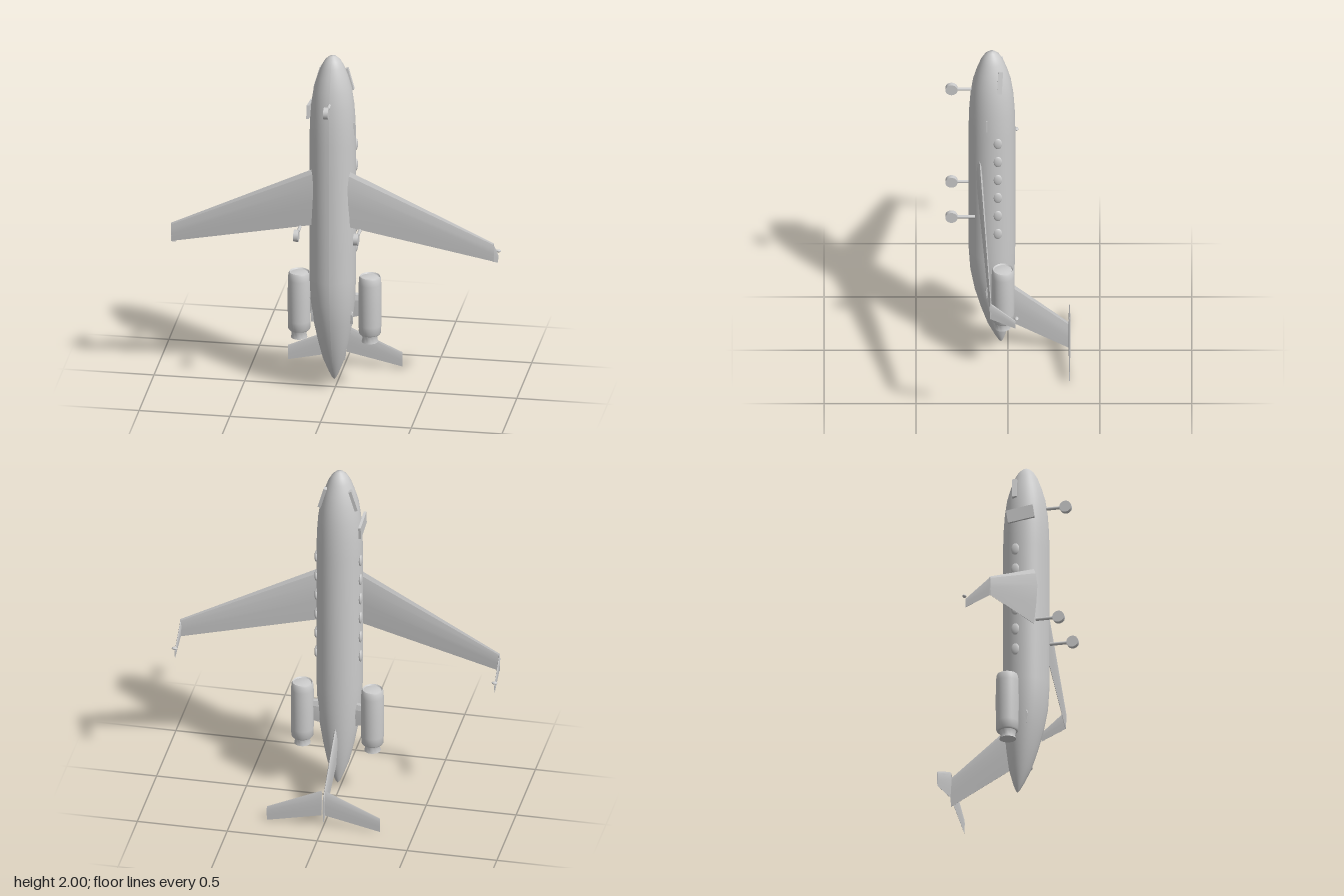
import * as THREE from 'three';
import { toCreasedNormals } from 'three/addons/utils/BufferGeometryUtils.js';

// Lofted flying surface: each section is { le:[x,y,z], chord, thick }, chord runs toward -y,
// thickness lies along the given axis (0 = x, 2 = z).
function loft(sections, axis) {
  const half = [[0, 0], [0.08, 0.55], [0.3, 1], [0.6, 0.75], [1, 0.08]];
  const foil = [...half, ...half.slice(1).reverse().map(([t, h]) => [t, -h])];
  const n = foil.length;
  const pts = sections.map(s => foil.map(([t, h]) => {
    const p = new THREE.Vector3(...s.le);
    p.y -= t * s.chord;
    p.setComponent(axis, p.getComponent(axis) + h * s.thick / 2);
    return p;
  }));
  const tris = [];
  for (let i = 0; i + 1 < pts.length; i++) {
    for (let j = 0; j < n; j++) {
      const k = (j + 1) % n, a = pts[i][j], b = pts[i][k], c = pts[i + 1][k], d = pts[i + 1][j];
      tris.push([a, b, c], [a, c, d]);
    }
  }
  const last = pts[pts.length - 1];
  for (let j = 1; j + 1 < n; j++) {
    tris.push([pts[0][0], pts[0][j + 1], pts[0][j]], [last[0], last[j], last[j + 1]]);
  }
  // Turn the faces outward whichever way the sections run
  const o = pts[0][0], v = () => new THREE.Vector3();
  const volume = tris.reduce((sum, [a, b, c]) => sum +
    v().subVectors(a, o).dot(v().subVectors(b, o).cross(v().subVectors(c, o))), 0);
  const flat = tris.flatMap(([a, b, c]) => volume < 0 ? [a, c, b] : [a, b, c]);
  const g = new THREE.BufferGeometry().setFromPoints(flat);
  return toCreasedNormals(g, 0.2);
}

export function createModel() {
  const model = new THREE.Group();
  model.name = 'businessJet';
  const paint = new THREE.MeshStandardMaterial({ color: 0xcccccc });
  paint.name = 'lightGrey';

  const add = (name, geometry, x = 0, y = 0, z = 0) => {
    const m = new THREE.Mesh(geometry, paint);
    m.name = name;
    m.position.set(x, y, z);
    model.add(m);
    return m;
  };

  // Fuselage: turned profile, with the tail cone swept toward the back
  const axisZ = 0.087;
  const profile = [
    [0, 0.065], [0.012, 0.08], [0.028, 0.115], [0.06, 0.2], [0.085, 0.31], [0.107, 0.43],
    [0.121, 0.56], [0.127, 0.7], [0.127, 1.1], [0.127, 1.5], [0.124, 1.62], [0.117, 1.72],
    [0.104, 1.81], [0.084, 1.88], [0.062, 1.94], [0.042, 1.975], [0.02, 1.995], [0, 2.0],
  ].map(p => new THREE.Vector2(...p));
  const body = new THREE.LatheGeometry(profile, 40);
  const bp = body.attributes.position;
  for (let i = 0; i < bp.count; i++) {
    const t = Math.max(0, (0.62 - bp.getY(i)) / 0.555);
    bp.setZ(i, bp.getZ(i) + axisZ - 0.05 * Math.pow(t, 1.3));
  }
  body.computeVertexNormals();
  add('fuselage', body);

  // Engine shell: rounded lip, domed intake face
  const nacelle = [
    [0, 0.345], [0.055, 0.345], [0.06, 0.352], [0.062, 0.4], [0.063, 0.52], [0.062, 0.64],
    [0.059, 0.675], [0.054, 0.685], [0.049, 0.678], [0.035, 0.681], [0, 0.684],
  ].map(p => new THREE.Vector2(...p));
  const exhaust = [[0, 0.3], [0.045, 0.3], [0.04, 0.322], [0.047, 0.347], [0, 0.347]]
    .map(p => new THREE.Vector2(...p));

  const wheel = new THREE.CylinderGeometry(0.033, 0.033, 0.026, 24).rotateZ(Math.PI / 2);
  const strut = new THREE.CylinderGeometry(0.009, 0.009, 0.13, 12).rotateX(Math.PI / 2);
  const gear = (name, x, y) => {
    add(name + 'Wheel', wheel, x, y, 0.307);
    add(name + 'Strut', strut, x, y, 0.245);
  };
  gear('noseGear', 0, 1.75);

  const windowShape = new THREE.SphereGeometry(1, 20, 12).scale(0.01, 0.034, 0.024);

  for (const s of [1, -1]) {
    const side = s > 0 ? 'left' : 'right';

    add(side + 'Wing', loft([
      { le: [s * 0.04, 1.38, 0.16], chord: 0.345, thick: 0.034 },
      { le: [s * 0.1, 1.35, 0.155], chord: 0.33, thick: 0.032 },
      { le: [s * 0.89, 0.953, 0.094], chord: 0.108, thick: 0.012 },
    ], 2));
    add(side + 'Winglet', loft([
      { le: [s * 0.886, 0.953, 0.098], chord: 0.108, thick: 0.01 },
      { le: [s * 0.889, 0.835, -0.04], chord: 0.052, thick: 0.006 },
    ], 0));
    add(side + 'TipLight',
      new THREE.SphereGeometry(1, 16, 10).scale(0.016, 0.008, 0.011), s * 0.89, 0.85, -0.047);

    add(side + 'Stabilizer', loft([
      { le: [s * 0.01, 0.226, -0.335], chord: 0.155, thick: 0.012 },
      { le: [s * 0.315, 0.09, -0.335], chord: 0.085, thick: 0.006 },
    ], 2));

    // Engine on its pylon
    add(side + 'Engine', toCreasedNormals(new THREE.LatheGeometry(nacelle, 32), 0.9), s * 0.195, 0, 0.027);
    add(side + 'Exhaust', toCreasedNormals(new THREE.LatheGeometry(exhaust, 24), 0.9), s * 0.195, 0, 0.03);
    add(side + 'Pylon', loft([
      { le: [s * 0.07, 0.59, 0.035], chord: 0.16, thick: 0.024 },
      { le: [s * 0.15, 0.58, 0.03], chord: 0.13, thick: 0.024 },
    ], 2));

    // Small strake low on the tail cone
    add(side + 'Strake', loft([
      { le: [s * 0.08, 0.56, 0.114], chord: 0.13, thick: 0.014 },
      { le: [s * 0.115, 0.5, 0.114], chord: 0.07, thick: 0.014 },
    ], 2));

    gear(side + 'MainGear', s * 0.165, 1.015);

    // Cabin windows
    for (let i = 0; i < 6; i++) {
      add(side + 'CabinWindow', windowShape, s * 0.123, 1.47 - i * 0.12, 0.055);
    }

    // Cockpit side window, leaning in with the nose
    const pane = add(side + 'CockpitWindow', new THREE.BoxGeometry(0.018, 0.125, 0.026), s * 0.086, 1.85, 0.043);
    pane.rotation.set(-0.06, 0, s * 0.28);
  }

  // Tall swept fin carrying the stabilizer
  add('tailFin', loft([
    { le: [0, 0.495, 0.03], chord: 0.27, thick: 0.026 },
    { le: [0, 0.44, -0.035], chord: 0.255, thick: 0.024 },
    { le: [0, 0.19, -0.335], chord: 0.17, thick: 0.012 },
  ], 0));

  // Entry door panel on one side, narrow hatch strip on the other
  add('entryDoor', new THREE.BoxGeometry(0.014, 0.075, 0.15), -0.127, 1.675, 0.085).rotation.x = -0.15;
  add('hatchStrip', new THREE.BoxGeometry(0.012, 0.075, 0.008), 0.118, 1.585, 0.114);

  return model;
}
